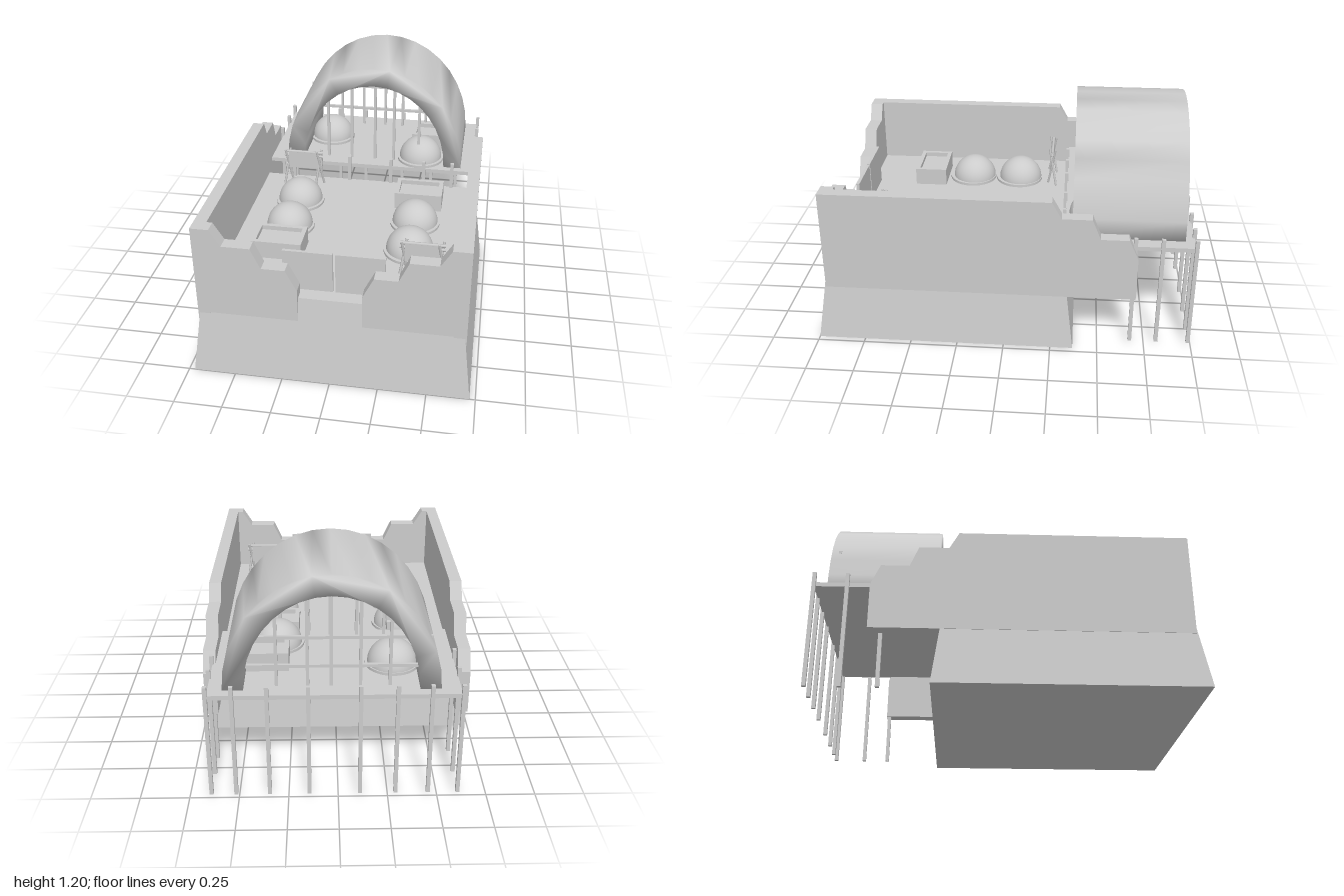
import * as THREE from 'three';
import { mergeVertices } from 'three/addons/utils/BufferGeometryUtils.js';

const material = new THREE.MeshStandardMaterial({ color: 0xcccccc });

export function createModel() {
  const root = new THREE.Group();

  const add = (name, geometry, parent = root) => {
    const mesh = new THREE.Mesh(geometry, material);
    mesh.name = name;
    parent.add(mesh);
    return mesh;
  };
  // Box given by its limits on each axis
  const box = (name, x0, x1, y0, y1, z0, z1, parent) => {
    const g = new THREE.BoxGeometry(x1 - x0, y1 - y0, z1 - z0);
    return add(name, g.translate((x0 + x1) / 2, (y0 + y1) / 2, (z0 + z1) / 2), parent);
  };
  const post = (name, x, y0, y1, z, w = 0.02) =>
    box(name, x - w / 2, x + w / 2, y0, y1, z - w / 2, z + w / 2);
  const rod = (name, a, b, r, parent) => {
    const path = new THREE.LineCurve3(new THREE.Vector3(...a), new THREE.Vector3(...b));
    return add(name, new THREE.TubeGeometry(path, 1, r, 6), parent);
  };
  const shapeOf = (points) => new THREE.Shape(points.map((p) => new THREE.Vector2(...p)));
  const extrude = (shape, depth) =>
    new THREE.ExtrudeGeometry(shape, { depth, bevelEnabled: false });

  // Battered stone base with a flat floor on top
  const base = new THREE.BoxGeometry(1.44, 0.48, 1.37).translate(0, 0.24, 0.315);
  const p = base.attributes.position;
  for (let i = 0; i < p.count; i++) {
    if (p.getY(i) < 0.1) continue;
    p.setX(i, Math.sign(p.getX(i)) * 0.66);
    p.setZ(i, p.getZ(i) > 0.3 ? 0.93 : -0.31);
  }
  add('base', base.toNonIndexed()).geometry.computeVertexNormals();

  // Side walls stepping down to the back, front walls stepping down to the gate
  const sideProfile = [[0.95, 0.3], [0.95, 0.85], [-0.245, 0.85], [-0.295, 0.76], [-0.45, 0.76],
    [-0.495, 0.65], [-0.64, 0.65], [-0.69, 0.54], [-0.69, 0.3]];
  const frontProfile = [[0.685, 0.35], [0.685, 0.85], [0.59, 0.85], [0.535, 0.76], [0.39, 0.76],
    [0.34, 0.65], [0.22, 0.65], [0.163, 0.535], [0.163, 0.35]];
  for (const s of [-1, 1]) {
    const side = extrude(shapeOf(sideProfile.map(([z, y]) => [-z, y])), 0.065);
    side.rotateY(Math.PI / 2).translate(s > 0 ? 0.62 : -0.685, 0, 0);
    add(s > 0 ? 'leftWall' : 'rightWall', side);
    const front = extrude(shapeOf(frontProfile.map(([x, y]) => [s * x, y])), 0.07);
    add(s > 0 ? 'frontWallLeft' : 'frontWallRight', front.translate(0, 0, 0.88));
  }

  // Gate leaves behind the opening
  box('gateLeafRight', -0.255, 0, 0.48, 0.705, 0.838, 0.855);
  box('gateLeafLeft', 0.013, 0.265, 0.48, 0.705, 0.838, 0.855);

  // Raised rear platform with its posts
  box('platform', -0.6, 0.635, 0.567, 0.59, -0.985, -0.31);
  const rowX = [-0.455, -0.29, -0.11, 0.145, 0.345, 0.515];
  for (const x of [-0.605, ...rowX, 0.64]) post('platformPost', x, 0.015, 0.64, -0.985);
  for (const x of rowX) post('frontRailPost', x, 0.46, 0.64, -0.305);
  for (const [x, z] of [[-0.605, -0.815], [-0.605, -0.63], [0.64, -0.815], [0.64, -0.675]])
    post('sidePost', x, 0.015, 0.64, z);

  // Vaulted shelter, open at both ends, with softly shaded edges
  const cx = 0.03, y0 = 0.59;
  const arc = (a, b) => Array.from({ length: 19 }, (_, i) => {
    const t = (i / 18) * Math.PI;
    return [cx + a * Math.cos(t), y0 + b * Math.sin(t)];
  });
  let vault = extrude(shapeOf([...arc(0.533, 0.61), ...arc(0.43, 0.5).reverse()]), 0.585);
  vault.translate(0, 0, -0.935);
  vault.deleteAttribute('normal');
  vault.deleteAttribute('uv');
  vault = mergeVertices(vault, 1e-4);
  vault.computeVertexNormals();
  add('vault', vault);

  // Bars inside both mouths of the vault, cross rails at the back
  for (const x of [-0.255, -0.11, 0.033, 0.148, 0.3]) {
    const top = y0 + 0.51 * Math.sqrt(1 - ((x - cx) / 0.44) ** 2);
    for (const z of [-0.4, -0.89]) post('vaultBar', x, y0, top, z, 0.016);
  }
  box('vaultRailUpper', -0.455, 0.47, 0.847, 0.863, -0.898, -0.882);
  box('vaultRailLower', -0.4, 0.46, 0.692, 0.708, -0.898, -0.882);

  // Dome mounds on low round footings
  const mound = (x, y, z) => {
    const g = new THREE.Group();
    g.name = 'mound';
    g.position.set(x, y, z);
    add('footing', new THREE.CylinderGeometry(0.14, 0.14, 0.015, 32).translate(0, 0.0075, 0), g);
    const dome = new THREE.SphereGeometry(0.128, 32, 12, 0, Math.PI * 2, 0, Math.PI / 2);
    add('dome', dome.translate(0, 0.01, -0.008), g);
    root.add(g);
  };
  for (const m of [[-0.355, 0.48, -0.01], [-0.355, 0.48, 0.275], [0.34, 0.48, 0.14],
    [0.34, 0.48, 0.425], [-0.28, 0.59, -0.67], [0.31, 0.59, -0.45]]) mound(...m);

  // Shallow rectangular troughs
  const trough = (x, y, z) => {
    const rect = (w, d) => [[-w, -d], [w, -d], [w, d], [-w, d]];
    const rim = shapeOf(rect(0.136, 0.092));
    rim.holes.push(new THREE.Path(rect(0.112, 0.069).reverse().map((q) => new THREE.Vector2(...q))));
    const g = new THREE.Group();
    g.name = 'trough';
    g.position.set(x, y, z);
    add('rim', extrude(rim, 0.1).rotateX(-Math.PI / 2), g);
    box('bed', -0.112, 0.112, 0, 0.075, -0.069, 0.069, g);
    root.add(g);
  };
  for (const t of [[-0.353, 0.48, 0.52], [0.34, 0.48, -0.1], [0.38, 0.59, -0.66]]) trough(...t);

  // Racks: crossed legs at each end carrying a rod and a hanging panel
  const rack = (x, z) => {
    const g = new THREE.Group();
    g.name = 'rack';
    g.position.set(x, 0.48, z);
    for (const s of [-1, 1]) {
      const e = s * 0.095;
      rod('legOne', [e - 0.022, 0, 0.025], [e + 0.012, 0.23, -0.018], 0.007, g);
      rod('legTwo', [e + 0.022, 0, -0.025], [e - 0.012, 0.23, 0.018], 0.007, g);
      rod('legTie', [e - 0.022, 0.19, 0], [e + 0.022, 0.19, 0], 0.008, g);
    }
    rod('rackRod', [-0.115, 0.215, 0], [0.115, 0.215, 0], 0.009, g);
    box('rackPanel', -0.09, 0.09, 0.11, 0.215, -0.008, 0.008, g);
    root.add(g);
  };
  rack(-0.375, -0.215);
  rack(0.43, 0.675);

  return root;
}
